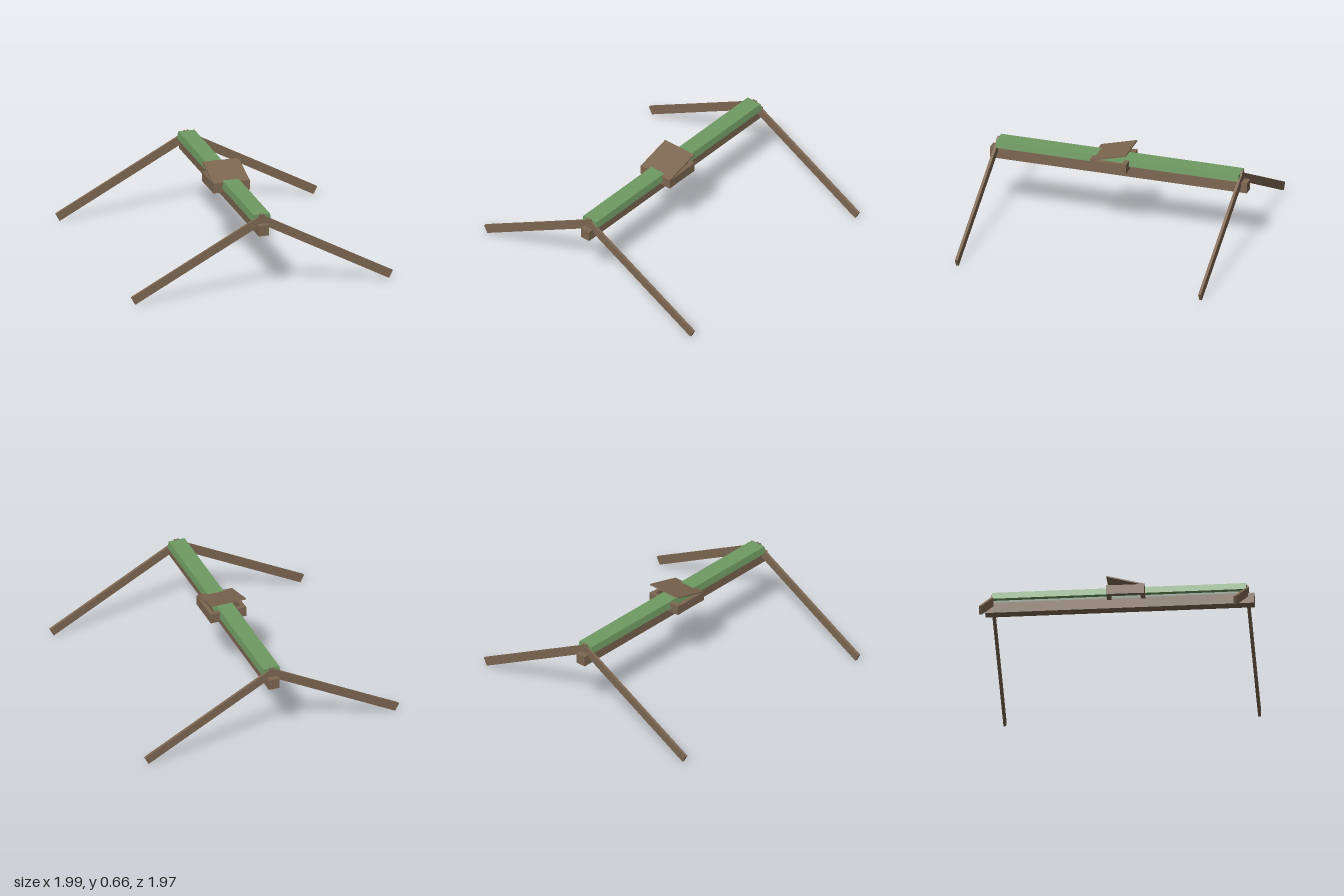
import * as THREE from 'three';

export function createModel() {
  const model = new THREE.Group();
  const wood = new THREE.MeshStandardMaterial({ color: 0x7d6751 });
  wood.name = 'brown wood';
  const green = new THREE.MeshStandardMaterial({ color: 0x6f9a62 });
  green.name = 'green paint';
  const pale = new THREE.MeshStandardMaterial({ color: 0x7f917c });
  pale.name = 'grey green';

  function box(name, material, size, pos, parent = model) {
    const mesh = new THREE.Mesh(new THREE.BoxGeometry(...size), material);
    mesh.name = name;
    mesh.position.set(...pos);
    parent.add(mesh);
    return mesh;
  }

  // Main beam and the strip that carries the cap
  box('beam', wood, [0.08, 0.08, 1.97], [0, 0.49, 0]);
  box('capSupport', pale, [0.07, 0.03, 1.86], [0, 0.54, 0]);

  // Green cap with slightly splayed sides
  const profile = new THREE.Shape([
    [-0.072, 0.548], [0.072, 0.548], [0.062, 0.6], [-0.062, 0.6],
  ].map(([x, y]) => new THREE.Vector2(x, y)));
  const capGeometry = new THREE.ExtrudeGeometry(profile, { depth: 1.86, bevelEnabled: false });
  capGeometry.translate(0, 0, -0.93);
  const cap = new THREE.Mesh(capGeometry, green);
  cap.name = 'cap';
  model.add(cap);

  // Crossed pairs of splayed legs at both ends
  const foot = new THREE.Vector2(0.982, 0.033);
  const head = new THREE.Vector2(-0.03, 0.576);
  const length = foot.distanceTo(head);
  const angle = Math.atan2(foot.y - head.y, foot.x - head.x);
  for (const z of [-0.932, 0.932]) {
    for (const side of [-1, 1]) {
      const leg = box('leg', wood, [length, 0.063, 0.02],
        [side * (foot.x + head.x) / 2, (foot.y + head.y) / 2, z]);
      leg.rotation.z = side * angle;
    }
  }

  // Open square frame around the middle
  const frame = new THREE.Group();
  frame.name = 'frame';
  model.add(frame);
  for (const side of [-1, 1]) {
    box('frameSide', wood, [0.03, 0.07, 0.22], [side * 0.125, 0.553, 0.05], frame);
    box('frameEnd', wood, [0.28, 0.075, 0.032], [0, 0.554, 0.05 + side * 0.124], frame);
  }

  // Tilted lid, hinged at the front of the frame
  const lid = box('lid', wood, [0.275, 0.01, 0.285], [0, 0.625, 0.05]);
  lid.rotation.x = 0.265;

  return model;
}
